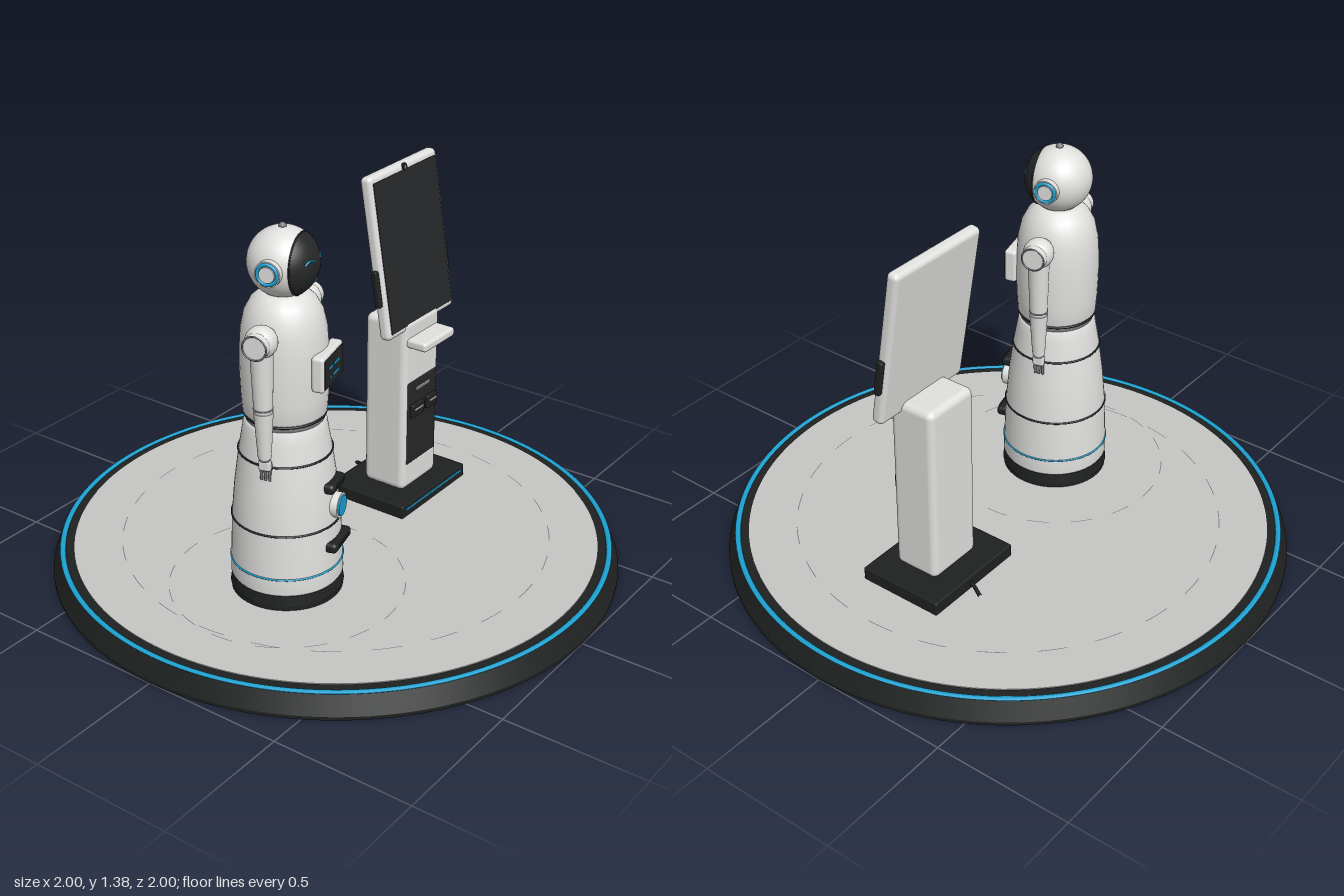
import * as THREE from 'three';
import { RoundedBoxGeometry } from 'three/addons/geometries/RoundedBoxGeometry.js';

const mat = (name, color, side = THREE.FrontSide) => {
  const m = new THREE.MeshStandardMaterial({ color, side });
  m.name = name;
  return m;
};

export function createModel() {
  const white = mat('shellWhite', 0xe0e0de);
  const floor = mat('floorGrey', 0xc6c6c3);
  const black = mat('black', 0x1f2121);
  const dark = mat('screenBlack', 0x262728);
  const blue = mat('accentBlue', 0x1ca2d2);
  const grey = mat('trimGrey', 0x77797a);

  const add = (parent, name, geo, m, x = 0, y = 0, z = 0) => {
    const mesh = new THREE.Mesh(geo, m);
    mesh.name = name;
    mesh.position.set(x, y, z);
    parent.add(mesh);
    return mesh;
  };
  const group = (parent, name, x = 0, y = 0, z = 0) => {
    const g = new THREE.Group();
    g.name = name;
    g.position.set(x, y, z);
    parent.add(g);
    return g;
  };
  const box = (w, h, d, r = 0.008) => new RoundedBoxGeometry(w, h, d, 3, r);
  const cyl = (top, bottom, h, n = 32) => new THREE.CylinderGeometry(top, bottom, h, n);
  const cylX = (r, h) => cyl(r, r, h).rotateZ(Math.PI / 2);
  const cylZ = (r, h) => cyl(r, r, h).rotateX(Math.PI / 2);
  const ring = (r, t) => new THREE.TorusGeometry(r, t, 8, 64).rotateX(Math.PI / 2);
  const lathe = (pts) => new THREE.LatheGeometry(pts.map((p) => new THREE.Vector2(...p)), 48);
  const flatRing = (a, b, start = 0, len = Math.PI * 2) =>
    new THREE.RingGeometry(a, b, 96, 1, start, len).rotateX(-Math.PI / 2);

  const model = new THREE.Group();
  model.name = 'receptionDisplay';

  // Round platform
  const platform = group(model, 'platform');
  add(platform, 'platformFoot', cyl(1, 1, 0.012, 128), black, 0, 0.006);
  add(platform, 'platformBody', cyl(0.97, 1, 0.064, 128), black, 0, 0.044);
  add(platform, 'platformRim', cyl(0.965, 0.97, 0.004, 128), black, 0, 0.078);
  add(platform, 'lightRing', new THREE.TorusGeometry(0.964, 0.01, 8, 128).rotateX(Math.PI / 2).scale(1, 0.5, 1), blue, 0, 0.08);
  add(platform, 'floorDisc', cyl(0.925, 0.925, 0.006, 128), floor, 0, 0.08);
  // Faint dashed floor marks
  for (const [r, x, z, n] of [[0.755, 0, 0, 24], [0.4, -0.367, 0.065, 16]]) {
    for (let i = 0; i < n; i++) {
      const a = (i / n) * Math.PI * 2;
      const dash = new THREE.RingGeometry(r - 0.0015, r + 0.0015, 6, 1, a, Math.PI / n).rotateX(-Math.PI / 2);
      add(platform, 'floorMark', dash, grey, x, 0.0836, z);
    }
  }

  // Robot, turned a little to its left
  const robot = group(model, 'robot', -0.367, 0, 0.065);
  robot.rotation.y = 0.26;
  add(robot, 'baseLower', cyl(0.188, 0.188, 0.02, 48), black, 0, 0.09);
  add(robot, 'baseUpper', cyl(0.185, 0.191, 0.038, 48), black, 0, 0.118);
  add(robot, 'skirt', lathe([[0.17, 0.135], [0.184, 0.137], [0.189, 0.145], [0.187, 0.2], [0.181, 0.36],
    [0.17, 0.48], [0.154, 0.6], [0.142, 0.67], [0.136, 0.705], [0.128, 0.715], [0, 0.716]]), white);
  add(robot, 'waist', cyl(0.129, 0.129, 0.03, 48), grey, 0, 0.722);
  add(robot, 'waistSeam', ring(0.133, 0.004), black, 0, 0.732);
  add(robot, 'torso', lathe([[0, 0.733], [0.13, 0.734], [0.138, 0.742], [0.142, 0.8], [0.145, 0.88], [0.144, 0.96],
    [0.139, 1.03], [0.127, 1.085], [0.106, 1.125], [0.08, 1.148], [0.06, 1.156], [0, 1.157]]), white);
  add(robot, 'neckRing', ring(0.058, 0.006), grey, 0, 1.156);
  for (const [r, y, m] of [[0.155, 0.6, black], [0.1815, 0.36, black], [0.1875, 0.2, blue]]) {
    add(robot, 'bodySeam', ring(r, 0.0035), m, 0, y);
  }

  // Front handles and round badge
  add(robot, 'upperHandle', box(0.115, 0.036, 0.05, 0.014), black, 0, 0.495, 0.165);
  add(robot, 'upperHandleSlot', box(0.06, 0.008, 0.006, 0.002), dark, 0, 0.5, 0.19);
  add(robot, 'lowerHandle', box(0.145, 0.036, 0.05, 0.014), black, 0, 0.285, 0.18);
  add(robot, 'lowerHandleSlot', box(0.08, 0.008, 0.006, 0.002), dark, 0, 0.29, 0.205);
  add(robot, 'badgeRim', cylZ(0.043, 0.04), white, 0, 0.417, 0.175);
  add(robot, 'badge', cylZ(0.035, 0.012), blue, 0, 0.417, 0.195);

  // Chest tablet with plain status bars
  const tablet = group(robot, 'chestTablet', 0, 0.915, 0.146);
  add(tablet, 'tabletShell', box(0.172, 0.122, 0.044, 0.012), white);
  add(tablet, 'tabletScreen', box(0.152, 0.1, 0.005, 0.002), dark, 0, 0, 0.022);
  for (const [x, y, w] of [[-0.03, 0.012, 0.035], [0.022, 0.012, 0.05], [-0.03, -0.022, 0.014], [0.015, -0.022, 0.05]]) {
    add(tablet, 'statusBar', new THREE.BoxGeometry(w, 0.01, 0.002), blue, x, y, 0.0252);
  }

  // Head with visor, face lights and ear discs
  const head = group(robot, 'head', 0, 1.251, 0);
  const R = 0.118;
  add(head, 'skull', new THREE.SphereGeometry(0.115, 48, 32), white);
  add(head, 'visor', new THREE.SphereGeometry(R, 48, 20, 0, Math.PI * 2, 0, 1.03).rotateX(Math.PI / 2), dark);
  add(head, 'visorRim', new THREE.TorusGeometry(0.1, 0.003, 8, 64), black, 0, 0, 0.06);
  add(head, 'topSensor', new THREE.SphereGeometry(0.013, 16, 12), grey, 0, 0.115, 0);
  const faceLine = (name, cx, cy, w, bend) => {
    const pts = [-1, -0.5, 0, 0.5, 1].map((t) => {
      const x = cx + (t * w) / 2, y = cy + bend * (1 - t * t);
      return new THREE.Vector3(x, y, Math.sqrt(R * R - x * x - y * y));
    });
    add(head, name, new THREE.TubeGeometry(new THREE.CatmullRomCurve3(pts), 12, 0.003, 6), blue);
  };
  faceLine('rightEye', -0.04, 0.018, 0.042, 0.01);
  faceLine('leftEye', 0.04, 0.018, 0.042, 0.01);
  faceLine('mouth', 0, -0.048, 0.03, -0.007);
  for (const s of [-1, 1]) {
    add(head, 'ear', cylX(0.043, 0.04), white, s * 0.107, 0, 0);
    add(head, 'earLight', new THREE.TorusGeometry(0.033, 0.006, 8, 40).rotateY(Math.PI / 2), blue, s * 0.127, 0, 0);
    add(head, 'earCap', cylX(0.026, 0.01), white, s * 0.127, 0, 0);
  }

  // Arms
  for (const s of [-1, 1]) {
    const arm = group(robot, s < 0 ? 'rightArm' : 'leftArm', s * 0.18, 1.05, 0);
    add(arm, 'shoulder', new THREE.SphereGeometry(0.053, 32, 20), white);
    add(arm, 'shoulderJoint', cylX(0.03, 0.06), white, -s * 0.05);
    add(arm, 'shoulderCap', cylX(0.043, 0.024), white, s * 0.042);
    add(arm, 'shoulderTrim', new THREE.TorusGeometry(0.04, 0.003, 8, 32).rotateY(Math.PI / 2), grey, s * 0.054);
    const limb = group(arm, 'limb');
    limb.rotation.z = -s * 0.025;
    add(limb, 'upperArm', cyl(0.038, 0.031, 0.21), white, 0, -0.125);
    add(limb, 'elbow', new THREE.SphereGeometry(0.031, 24, 16), white, 0, -0.235);
    add(limb, 'elbowTrim', ring(0.03, 0.003), grey, 0, -0.23);
    add(limb, 'forearm', cyl(0.032, 0.022, 0.165), white, 0, -0.325);
    add(limb, 'wrist', cyl(0.019, 0.019, 0.012), grey, 0, -0.411);
    add(limb, 'palm', box(0.026, 0.042, 0.042, 0.01), white, 0, -0.434);
    for (const z of [-0.014, 0, 0.014]) {
      add(limb, 'finger', cyl(0.0065, 0.0045, 0.05, 10), grey, -s * 0.002, -0.468, z);
    }
    const thumb = add(limb, 'thumb', cyl(0.0065, 0.0045, 0.04, 10), grey, -s * 0.014, -0.448, 0.014);
    thumb.rotation.z = -s * 0.3;
  }

  // Kiosk stand
  const kiosk = group(model, 'kiosk', 0.397);
  add(kiosk, 'kioskBase', box(0.408, 0.05, 0.32, 0.006), black, 0, 0.107, -0.005);
  add(kiosk, 'baseLight', box(0.365, 0.009, 0.006, 0.002), blue, 0, 0.113, 0.155);
  add(kiosk, 'column', box(0.22, 0.67, 0.175, 0.025), white, 0, 0.465, 0.003);
  add(kiosk, 'shelf', box(0.19, 0.035, 0.09, 0.012), white, 0, 0.72, 0.12);
  add(kiosk, 'panel', box(0.178, 0.326, 0.012, 0.004), dark, 0, 0.398, 0.088);
  add(kiosk, 'receiptSlot', box(0.09, 0.014, 0.01, 0.003), grey, 0, 0.525, 0.094);
  for (const [x, w] of [[-0.04, 0.075], [0.05, 0.062]]) {
    add(kiosk, 'reader', box(w, 0.05, 0.022, 0.005), black, x, 0.448, 0.097);
    add(kiosk, 'readerSlot', box(w * 0.7, 0.006, 0.004, 0.0015), white, x, 0.454, 0.108);
  }
  const cable = new THREE.CatmullRomCurve3([[0.015, 0.105, -0.15], [0.022, 0.1, -0.18], [0.04, 0.089, -0.22]]
    .map((p) => new THREE.Vector3(...p)));
  add(kiosk, 'cable', new THREE.TubeGeometry(cable, 12, 0.007, 8), black);

  // Tilted display
  const display = group(kiosk, 'display', 0.003, 1.05, 0.018);
  display.rotation.x = -0.16;
  add(display, 'displayShell', box(0.408, 0.585, 0.046, 0.018), white);
  add(display, 'displayScreen', box(0.376, 0.54, 0.006, 0.002), dark, 0, -0.002, 0.022);
  add(display, 'cameraRim', cylZ(0.014, 0.008), black, 0, 0.276, 0.022);
  add(display, 'cameraLens', cylZ(0.006, 0.004), grey, 0, 0.276, 0.025);
  for (const s of [-1, 1]) {
    add(display, 'sideModule', box(0.026, 0.13, 0.022, 0.005), black, s * 0.207, -0.1, 0);
  }
  return model;
}
